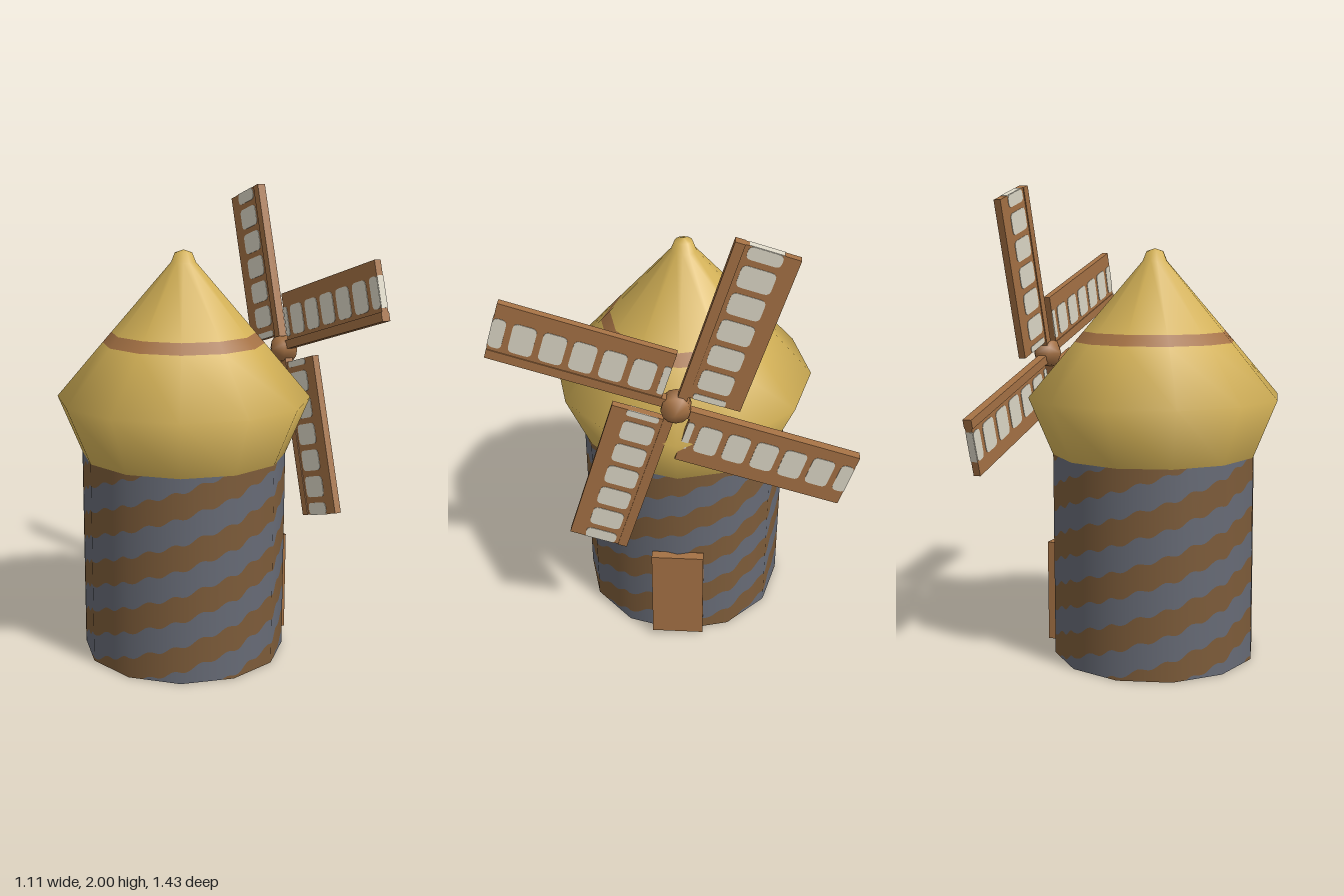
import * as THREE from 'three';

const mat = (name, color) => {
  const m = new THREE.MeshStandardMaterial({ color });
  m.name = name;
  return m;
};

const CX = -0.017;            // tower axis
const R = 0.438, H = 0.875;   // tower radius and height
const SIDES = 12, COLS = 288; // wall facets, pattern columns
const TURNS = 4, STEPS = 24;  // stripes and steps per turn
const PITCH = H / 4, BASE = 0.123; // stripe spacing and starting height

export function createModel() {
  const slate = mat('slate', 0x666a75);
  const stripe = mat('stripe brown', 0x7c5b39);
  const thatch = mat('thatch', 0xd2b056);
  const wood = mat('wood', 0xa47144);
  const cloth = mat('cloth', 0xdcd7c6);

  const model = new THREE.Group();
  model.name = 'windmill';
  const add = (parent, name, geo, material, x = 0, y = 0, z = 0) => {
    const mesh = new THREE.Mesh(geo, material);
    mesh.name = name;
    mesh.position.set(x, y, z);
    parent.add(mesh);
    return mesh;
  };

  // point on the twelve-sided outline, u = 0..1 around the tower
  const rim = (u) => {
    const f = Math.floor(u * SIDES + 1e-9), t = u * SIDES - f;
    const a = (f / SIDES) * Math.PI * 2, b = ((f + 1) / SIDES) * Math.PI * 2;
    return [
      R * (Math.sin(a) * (1 - t) + Math.sin(b) * t),
      R * (Math.cos(a) * (1 - t) + Math.cos(b) * t),
    ];
  };
  // stepped, rising edge of a stripe
  const edge = (u, k) => {
    const wave = u - (1.5 * Math.sin(u * Math.PI * 2 * STEPS)) / (Math.PI * 2 * STEPS);
    return Math.min(H, Math.max(0, PITCH * (TURNS * wave + k) + BASE));
  };

  // tower wall and floor: half of each pitch is brown, half is slate
  const towerSurface = (shift) => {
    const pos = [], nor = [];
    const push = (u, y) => {
      const [x, z] = rim(u);
      pos.push(x, y, z);
      nor.push(Math.sin(u * Math.PI * 2), 0, Math.cos(u * Math.PI * 2));
    };
    for (let i = 0; i < COLS; i++) {
      const u0 = i / COLS, u1 = (i + 1) / COLS;
      for (let k = -TURNS - 2; k < 5; k++) {
        const a0 = edge(u0, k + shift), a1 = edge(u1, k + shift);
        const b0 = edge(u0, k + shift + 0.5), b1 = edge(u1, k + shift + 0.5);
        if (b0 - a0 < 1e-6 && b1 - a1 < 1e-6) continue;
        push(u0, a0); push(u1, a1); push(u1, b1);
        push(u0, a0); push(u1, b1); push(u0, b0);
      }
      // floor wedge
      const phase = TURNS * (u0 + u1) / 2 + BASE / PITCH + shift;
      if (((-phase % 1) + 1) % 1 < 0.5) {
        const [x0, z0] = rim(u0), [x1, z1] = rim(u1);
        pos.push(0, 0, 0, x1, 0, z1, x0, 0, z0);
        for (let n = 0; n < 3; n++) nor.push(0, -1, 0);
      }
    }
    const g = new THREE.BufferGeometry();
    g.setAttribute('position', new THREE.Float32BufferAttribute(pos, 3));
    g.setAttribute('normal', new THREE.Float32BufferAttribute(nor, 3));
    return g;
  };
  add(model, 'towerStripes', towerSurface(0), stripe, CX);
  add(model, 'towerWall', towerSurface(0.5), slate, CX);

  // roof in three sections, with a painted ring
  const lathe = (pts) =>
    new THREE.LatheGeometry(pts.map(([r, y]) => new THREE.Vector2(r, y)), SIDES);
  add(model, 'roofLower', lathe([[R, H], [0.54, 1.12], [0.343, 1.352]]), thatch, CX);
  add(model, 'roofRing', lathe([[0.343, 1.352], [0.305, 1.396]]), wood, CX);
  add(model, 'roofUpper',
    lathe([[0.305, 1.396], [0.052, 1.69], [0.036, 1.73], [0, 1.742]]), thatch, CX);

  // door slab standing just proud of the wall
  add(model, 'door', new THREE.BoxGeometry(0.04, 0.44, 0.22), wood, 0.427, 0.24, 0);

  // rotor: hub and four sails
  const rotor = new THREE.Group();
  rotor.name = 'rotor';
  rotor.position.set(0.49, 1.287, 0);
  model.add(rotor);
  const hub = new THREE.SphereGeometry(0.066, 12, 3);
  hub.rotateZ(Math.PI / 2);
  add(rotor, 'hub', hub, wood);

  // rounded cloth pane between two radii, lying in the sail plane
  const A = 0.045, B = 0.173;
  const pane = (r0, r1) => {
    const c = Math.min(0.022, (r1 - r0) * 0.4);
    const s = new THREE.Shape();
    s.moveTo(A + c, r0);
    s.lineTo(B - c, r0); s.quadraticCurveTo(B, r0, B, r0 + c);
    s.lineTo(B, r1 - c); s.quadraticCurveTo(B, r1, B - c, r1);
    s.lineTo(A + c, r1); s.quadraticCurveTo(A, r1, A, r1 - c);
    s.lineTo(A, r0 + c); s.quadraticCurveTo(A, r0, A + c, r0);
    const g = new THREE.ExtrudeGeometry(s, { depth: 0.004, bevelEnabled: false, curveSegments: 4 });
    return g.translate(0, 0, -0.002).rotateY(Math.PI / 2);
  };
  const IN = 0.065, OUT = 0.743, T = 0.03;
  const spans = [[IN, 0.092], [0.692, OUT]];
  for (let i = 0; i < 5; i++) spans.push([0.117 + i * 0.115, 0.207 + i * 0.115]);
  const panes = spans.map(([a, b]) => pane(a, b));
  const panel = new THREE.BoxGeometry(T, OUT - IN, 0.235);
  const spar = new THREE.BoxGeometry(0.038, OUT - 0.02, 0.038);
  const tip = new THREE.BoxGeometry(T, 0.004, B - A);

  for (let i = 0; i < 4; i++) {
    const sail = new THREE.Group();
    sail.name = 'sail' + (i + 1);
    sail.rotation.x = -0.293 + (i * Math.PI) / 2;
    rotor.add(sail);
    add(sail, 'sailPanel', panel, wood, 0, (IN + OUT) / 2, -0.1175);
    add(sail, 'sailSpar', spar, wood, 0, (OUT + 0.02) / 2, -0.011);
    add(sail, 'sailTip', tip, cloth, 0, OUT, -(A + B) / 2);
    for (const side of [-1, 1])
      for (const g of panes) add(sail, 'sailPane', g, cloth, (side * T) / 2);
  }
  return model;
}
